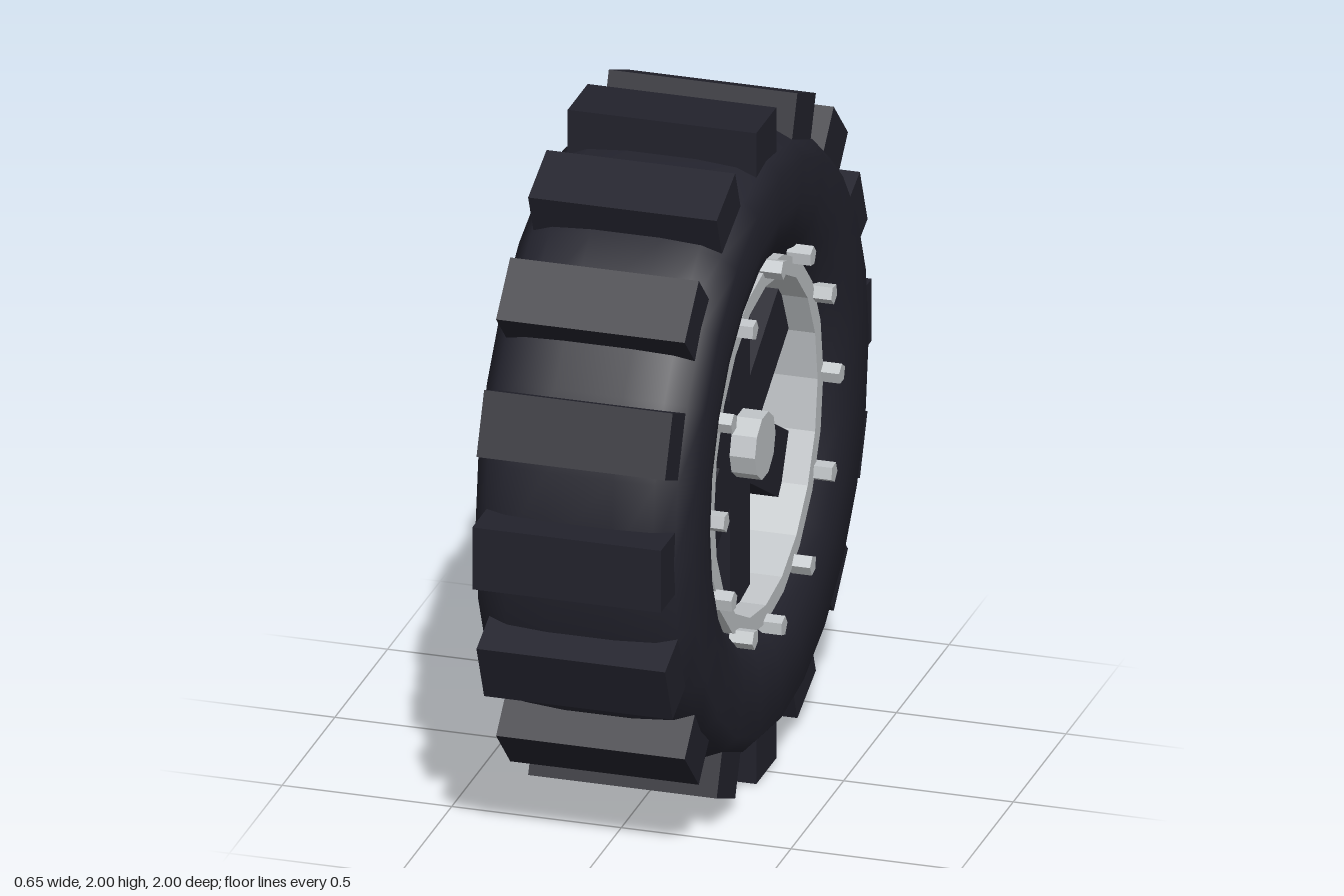
import * as THREE from 'three';

const rubber = new THREE.MeshStandardMaterial({ color: 0x22222c });
rubber.name = 'darkRubber';
const metal = new THREE.MeshStandardMaterial({ color: 0xc0c4c7 });
metal.name = 'lightMetal';
const plate = new THREE.MeshStandardMaterial({ color: 0x646868 });
plate.name = 'greyPlate';

// Gives every facet its own normal
function facet(geo) {
  const g = geo.toNonIndexed();
  g.computeVertexNormals();
  return g;
}

// Revolves a [radius, x] profile about the wheel's x axis
function revolve(profile, sides) {
  const points = profile.map(([r, x]) => new THREE.Vector2(r, x));
  return new THREE.LatheGeometry(points, sides).rotateZ(-Math.PI / 2);
}

// Cylinder along x between two x positions
function axial(radius, x0, x1, sides) {
  return facet(new THREE.CylinderGeometry(radius, radius, x1 - x0, sides)
    .rotateZ(-Math.PI / 2).translate((x0 + x1) / 2, 0, 0));
}

export function createModel() {
  const model = new THREE.Group();
  model.name = 'wheel';
  const wheel = new THREE.Group();
  wheel.name = 'wheelAssembly';
  wheel.position.set(-0.006, 1, 0);
  model.add(wheel);

  const add = (name, geo, mat) => {
    const mesh = new THREE.Mesh(geo, mat);
    mesh.name = name;
    wheel.add(mesh);
    return mesh;
  };

  // Tyre: rounded section, mirrored from one sidewall to the other
  const half = [[0.91, 0.1], [0.9, 0.22], [0.875, 0.28], [0.83, 0.322],
    [0.7, 0.322], [0.63, 0.308], [0.57, 0.275], [0.53, 0.22]];
  const mirrored = half.map(([r, x]) => [r, -x]).reverse();
  add('tyre', revolve([...mirrored, ...half], 24), rubber);

  // Tread blocks
  const blockGeo = new THREE.BoxGeometry(0.556, 0.16, 0.19).translate(0, 0.92, 0);
  for (let i = 0; i < 16; i++) {
    add('treadBlock', blockGeo, rubber).rotation.x = (i * Math.PI) / 8;
  }

  // Rim barrel with a flat lip on both sides
  add('rim', facet(revolve([[0.545, -0.277], [0.545, 0.277], [0.49, 0.277],
    [0.49, -0.277], [0.545, -0.277]], 20)), metal);

  // Back plate closing the barrel
  add('backPlate', axial(0.495, -0.235, -0.215, 20), plate);

  // Three crossing bars make six spokes
  const barGeo = new THREE.BoxGeometry(0.1, 0.98, 0.19).translate(0.15, 0, 0);
  for (let i = 0; i < 3; i++) {
    add('spokeBar', barGeo, rubber).rotation.x = (i * Math.PI) / 3;
  }

  // Hub cap
  add('hub', axial(0.098, 0.08, 0.275, 10), metal);

  // Rim bolts
  const boltGeo = axial(0.03, 0.26, 0.331, 5);
  boltGeo.translate(0, 0.548, 0);
  for (let i = 0; i < 12; i++) {
    add('rimBolt', boltGeo, metal).rotation.x = (i * Math.PI) / 6;
  }

  return model;
}
